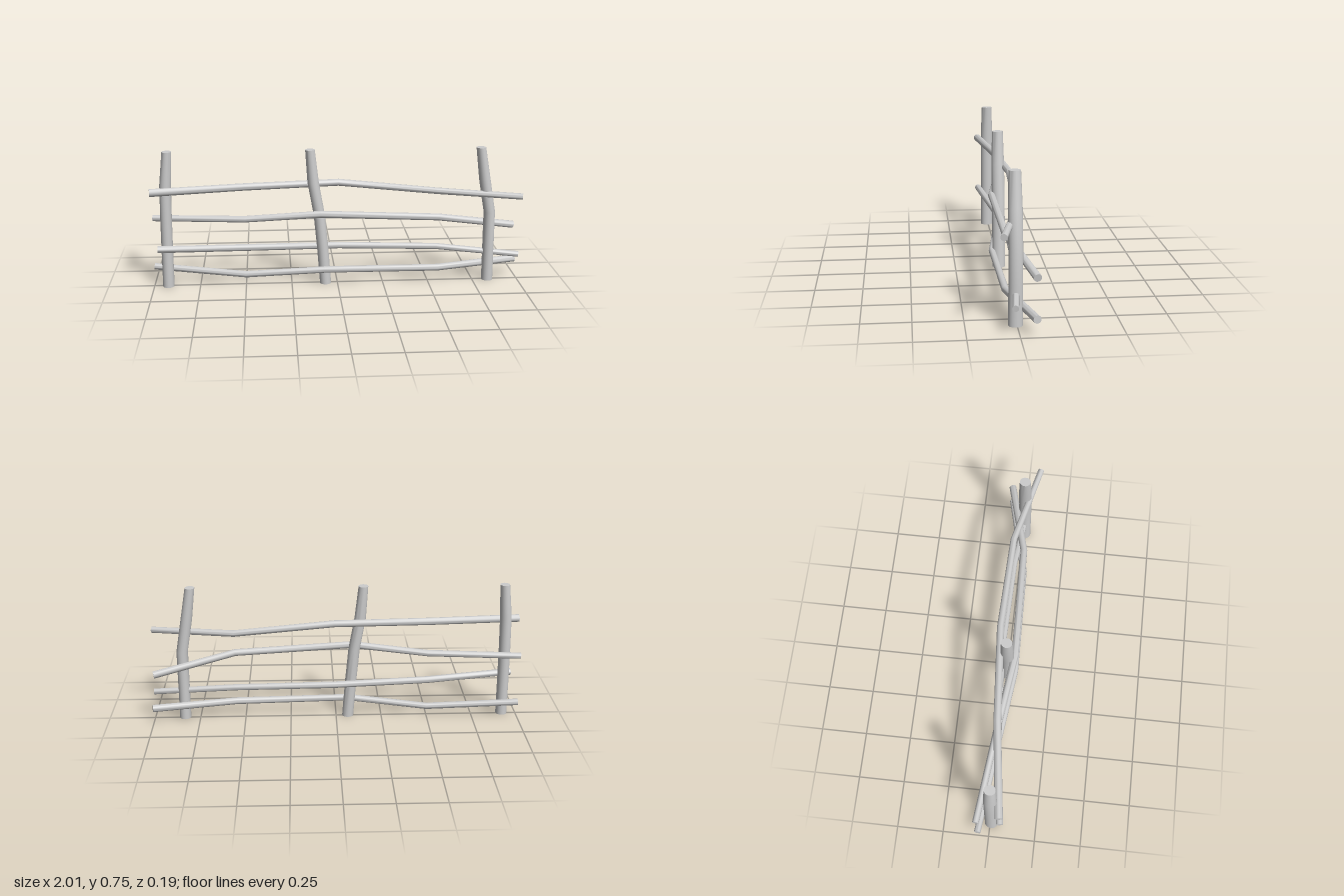
import * as THREE from 'three';
import { toCreasedNormals } from 'three/addons/utils/BufferGeometryUtils.js';

const SIDES = 18;

// Round pole through points [x, y, z, radius]; axis fixes the ring direction,
// otherwise rings are mitred at each bend. depth stretches the rings along z.
function pole(points, axis = null, depth = 1) {
  const centers = points.map(([x, y, z]) => new THREE.Vector3(x, y, z));
  const positions = [], index = [];
  const last = points.length - 1;
  centers.forEach((c, i) => {
    const dir = new THREE.Vector3();
    if (axis) dir.copy(axis);
    else {
      if (i > 0) dir.add(c.clone().sub(centers[i - 1]).normalize());
      if (i < last) dir.add(centers[i + 1].clone().sub(c).normalize());
      dir.normalize();
    }
    const u = new THREE.Vector3(0, 0, 1).addScaledVector(dir, -dir.z).normalize();
    const v = new THREE.Vector3().crossVectors(dir, u);
    for (let s = 0; s < SIDES; s++) {
      const a = (s / SIDES) * Math.PI * 2;
      const p = c.clone()
        .addScaledVector(u, Math.cos(a) * points[i][3] * depth)
        .addScaledVector(v, Math.sin(a) * points[i][3]);
      positions.push(p.x, p.y, p.z);
    }
  });
  const startCap = positions.length / 3, endCap = startCap + 1;
  positions.push(...centers[0].toArray(), ...centers[last].toArray());
  for (let s = 0; s < SIDES; s++) {
    const t = (s + 1) % SIDES;
    for (let i = 0; i < last; i++) {
      const a = i * SIDES + s, b = i * SIDES + t;
      index.push(a, b, b + SIDES, a, b + SIDES, a + SIDES);
    }
    index.push(startCap, t, s, endCap, last * SIDES + s, last * SIDES + t);
  }
  const geometry = new THREE.BufferGeometry();
  geometry.setAttribute('position', new THREE.Float32BufferAttribute(positions, 3));
  geometry.setIndex(index);
  return toCreasedNormals(geometry, Math.PI / 4);
}

export function createModel() {
  const group = new THREE.Group();
  const material = new THREE.MeshStandardMaterial({ color: 0xcccccc });
  const add = (name, geometry) => {
    const mesh = new THREE.Mesh(geometry, material);
    mesh.name = name;
    group.add(mesh);
  };

  // Upright stakes: x of the centre line at each height
  const heights = [0, 0.2, 0.39, 0.57, 0.75];
  const radii = [0.031, 0.031, 0.031, 0.031, 0.026];
  const stakes = {
    rightPost: [-0.923, -0.923, -0.922, -0.919, -0.905],
    middlePost: [-0.065, -0.08, -0.098, -0.13, -0.146],
    leftPost: [0.834, 0.834, 0.834, 0.803, 0.777],
  };
  const up = new THREE.Vector3(0, 1, 0);
  for (const [name, xs] of Object.entries(stakes)) {
    add(name, pole(xs.map((x, i) => [x, heights[i], 0.007, radii[i]]), up, 1.14));
  }

  // Rails woven alternately before and behind the stakes
  add('topRail', pole([
    [-1, 0.54, 0.06, 0.021], [-0.5, 0.549, -0.003, 0.02], [0.01, 0.556, -0.043, 0.019],
    [0.55, 0.502, -0.03, 0.018], [1, 0.49, 0.078, 0.017]]));
  add('upperRail', pole([
    [-1, 0.367, -0.063, 0.017], [-0.5, 0.367, -0.008, 0.018], [-0.09, 0.402, 0.045, 0.019],
    [0.55, 0.37, 0.028, 0.019], [0.985, 0.288, -0.08, 0.02]]));
  add('lowerRail', pole([
    [-0.97, 0.225, 0.058, 0.019], [-0.5, 0.208, -0.003, 0.019], [0.01, 0.2, -0.038, 0.018],
    [0.55, 0.187, -0.025, 0.017], [1, 0.147, 0.024, 0.016]]));
  add('bottomRail', pole([
    [-1, 0.092, -0.06, 0.018], [-0.5, 0.052, -0.008, 0.018], [-0.07, 0.088, 0.045, 0.018],
    [0.55, 0.082, 0.03, 0.019], [1, 0.09, -0.078, 0.02]]));

  return group;
}
